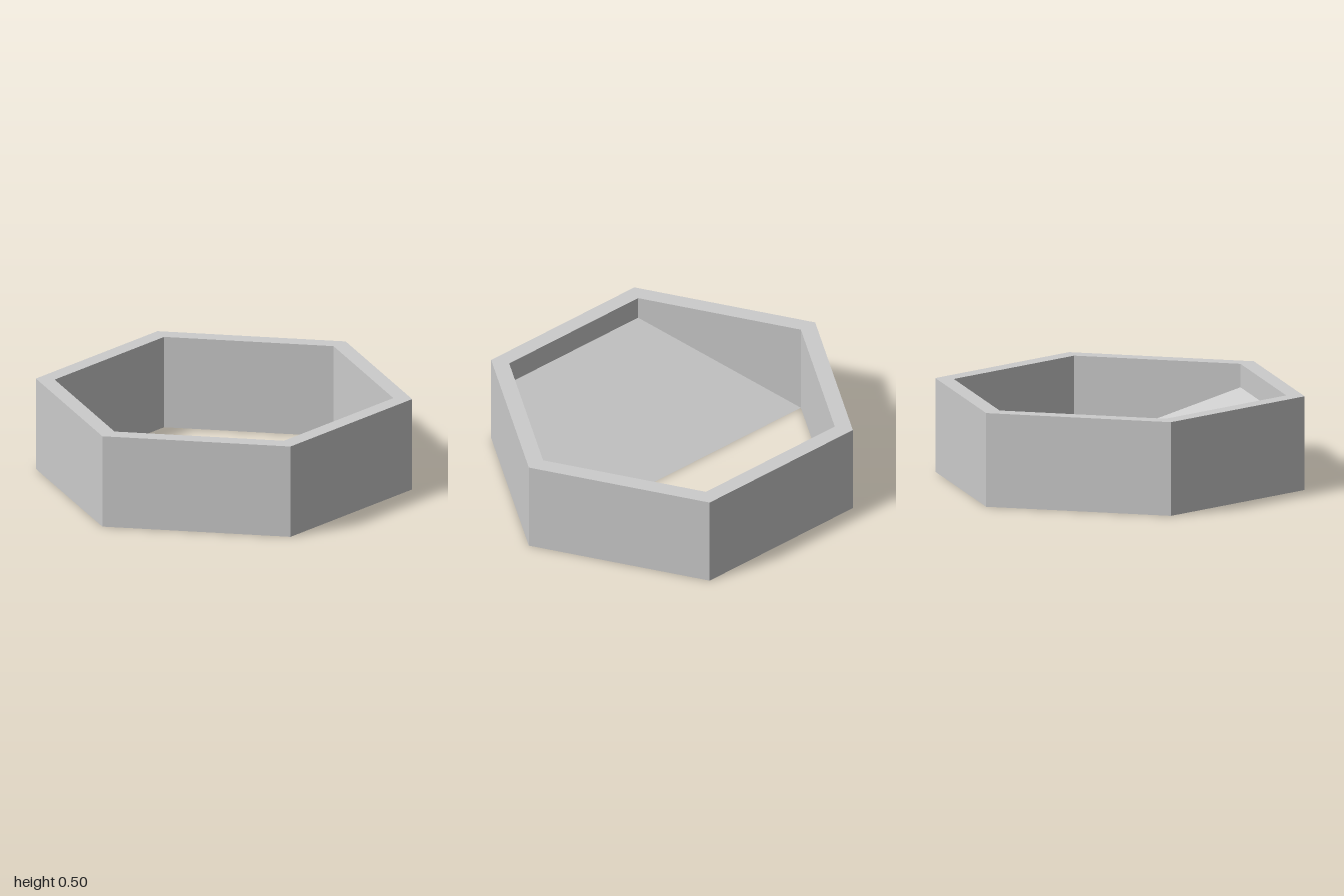
import * as THREE from 'three';
import { ConvexGeometry } from 'three/addons/geometries/ConvexGeometry.js';

const OUTER = 1, INNER = 0.9, HEIGHT = 0.5;

// Corners of a hexagon with points on the x axis
const hexagon = (r) => Array.from({ length: 6 }, (_, i) =>
  new THREE.Vector2(r * Math.cos(i * Math.PI / 3), r * Math.sin(i * Math.PI / 3)));

export function createModel() {
  const group = new THREE.Group();
  const material = new THREE.MeshStandardMaterial({ color: 0xcccccc, flatShading: true });
  const add = (name, geometry) => {
    const mesh = new THREE.Mesh(geometry, material);
    mesh.name = name;
    group.add(mesh);
  };

  // Open hexagonal wall
  const outline = new THREE.Shape(hexagon(OUTER));
  outline.holes.push(new THREE.Path(hexagon(INNER)));
  const wall = new THREE.ExtrudeGeometry(outline, { depth: HEIGHT, bevelEnabled: false });
  wall.rotateX(-Math.PI / 2);
  add('hexagonalWall', wall);

  // Wedge ramp: knife edge across the middle at the base, thickening toward the front wall
  const frontZ = INNER * Math.sin(Math.PI / 3);
  const corners = [];
  for (const side of [-1, 1]) {
    corners.push(
      new THREE.Vector3(side * INNER, 0, 0),
      new THREE.Vector3(side * INNER / 2, 0.25, frontZ),
      new THREE.Vector3(side * INNER / 2, 0.375, frontZ));
  }
  add('ramp', new ConvexGeometry(corners));

  return group;
}
